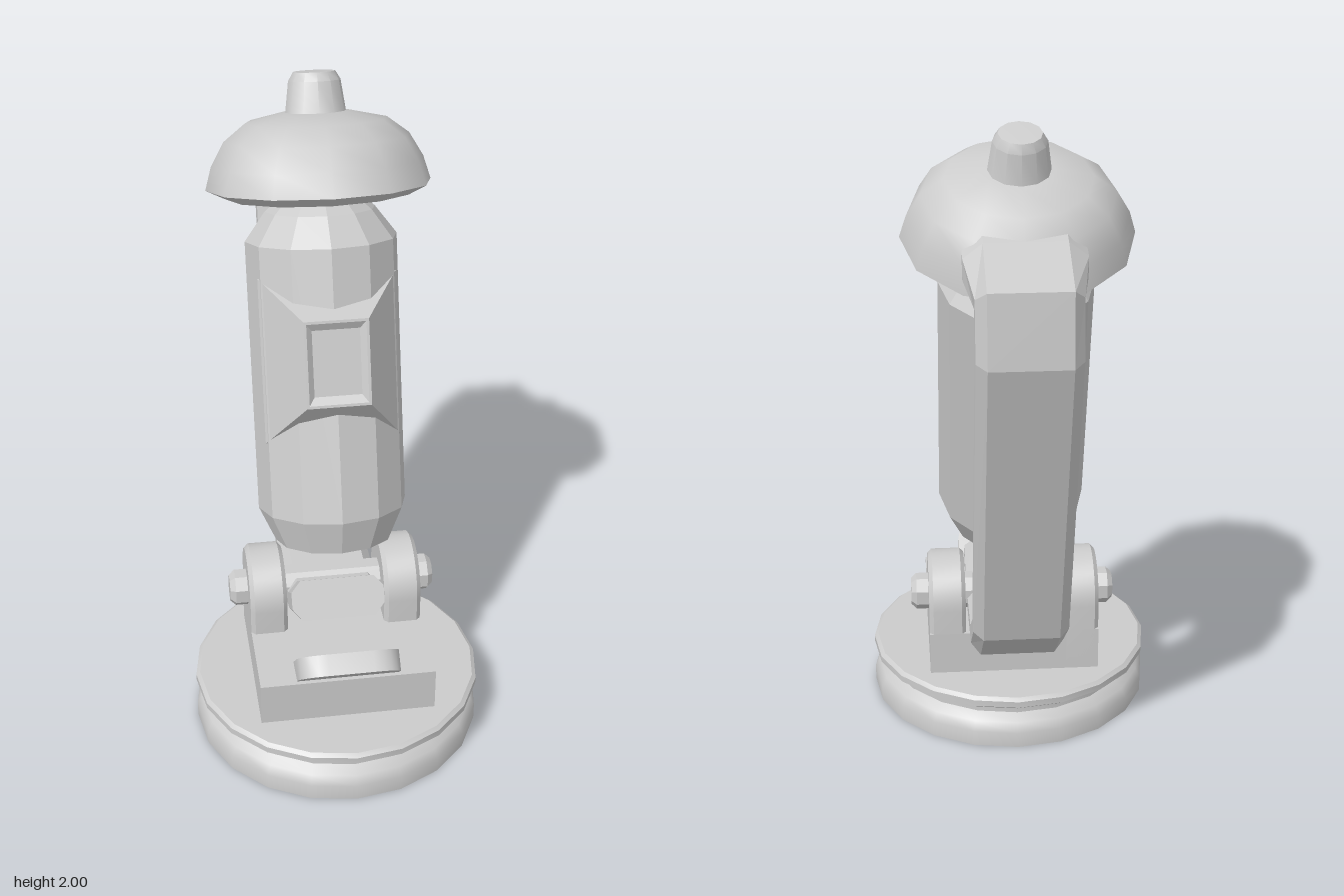
import * as THREE from 'three';
import { toCreasedNormals } from 'three/addons/utils/BufferGeometryUtils.js';

const smooth = new THREE.MeshStandardMaterial({ color: 0xcccccc });
const flat = new THREE.MeshStandardMaterial({ color: 0xcccccc, flatShading: true });

function add(parent, name, geometry, material = flat) {
  const mesh = new THREE.Mesh(geometry, material);
  mesh.name = name;
  parent.add(mesh);
  return mesh;
}

// Turned part from [radius, height] pairs, bottom to top
function lathe(profile, sides, start = 0) {
  return new THREE.LatheGeometry(profile.map(p => new THREE.Vector2(...p)), sides, start);
}

// Skin equal-sized rings of points and close both ends
function loft(rings) {
  const n = rings[0].length, index = [];
  for (let r = 0; r < rings.length - 1; r++) {
    for (let i = 0; i < n; i++) {
      const a = r * n + i, b = r * n + (i + 1) % n;
      index.push(a, b, b + n, a, b + n, a + n);
    }
  }
  const last = (rings.length - 1) * n;
  for (let i = 1; i < n - 1; i++) {
    index.push(0, i + 1, i, last, last + i, last + i + 1);
  }
  const geometry = new THREE.BufferGeometry();
  geometry.setAttribute('position', new THREE.Float32BufferAttribute(rings.flat(2), 3));
  geometry.setIndex(index);
  geometry.computeVertexNormals();
  return geometry;
}

// Curved strap: each station is [outer z, outer y, inner z, inner y, inner half width]
function strapGeometry(stations) {
  return loft(stations.map(([oz, oy, iz, iy, w = 0.145]) => {
    const section = [[0.115, 0], [w, 0.3], [w, 0.72], [w - 0.03, 1]];
    const point = (x, f) => [x, oy + (iy - oy) * f, oz + (iz - oz) * f];
    return [
      ...section.map(([x, f]) => point(x, f)),
      ...section.slice().reverse().map(([x, f]) => point(-x, f)),
    ].reverse();
  }));
}

export function createModel() {
  const model = new THREE.Group();
  model.name = 'tiltingLamp';

  // Grooved round base
  const base = add(model, 'base', toCreasedNormals(lathe([
    [0, 0], [0.45, 0], [0.45, 0.05], [0.435, 0.08], [0.405, 0.1], [0.405, 0.115],
    [0.45, 0.145], [0.45, 0.165], [0.438, 0.175], [0, 0.175],
  ], 20), 0.6), smooth);
  base.position.z = 0.215;

  // Hinge block with two arched lugs
  const block = add(model, 'hingeBlock', new THREE.BoxGeometry(0.54, 0.15, 0.535));
  block.position.set(0, 0.24, 0.2125);

  const arch = new THREE.Shape();
  arch.moveTo(-0.042, 0.2);
  arch.lineTo(0.212, 0.2);
  arch.lineTo(0.212, 0.395);
  arch.absarc(0.085, 0.395, 0.127, 0, Math.PI, false);
  arch.closePath();
  for (const side of [-1, 1]) {
    const lug = new THREE.ExtrudeGeometry(arch, {
      depth: 0.09, curveSegments: 8, bevelEnabled: true,
      bevelSize: 0.013, bevelThickness: 0.013, bevelSegments: 1,
    });
    lug.translate(0, 0, -0.045).rotateY(-Math.PI / 2);
    add(model, side > 0 ? 'leftLug' : 'rightLug', toCreasedNormals(lug, 0.6), smooth)
      .position.x = side * 0.212;
  }

  // Octagonal hinge pin
  const pin = add(model, 'hingePin', lathe([
    [0, -0.325], [0.042, -0.325], [0.058, -0.308], [0.058, 0.308], [0.042, 0.325], [0, 0.325],
  ], 8, Math.PI / 8));
  pin.rotation.z = Math.PI / 2;
  pin.position.set(0, 0.4, 0.085);

  // Slanted thumb lever
  const tab = new THREE.Shape();
  tab.moveTo(-0.157, -0.06);
  tab.lineTo(0.157, -0.06);
  tab.lineTo(0.157, 0.08);
  tab.quadraticCurveTo(0.15, 0.152, 0.07, 0.152);
  tab.lineTo(-0.07, 0.152);
  tab.quadraticCurveTo(-0.15, 0.152, -0.157, 0.08);
  tab.closePath();
  const lever = add(model, 'lever', toCreasedNormals(
    new THREE.ExtrudeGeometry(tab, { depth: 0.064, curveSegments: 5, bevelEnabled: false })
      .translate(0, 0, -0.032), 0.6), smooth);
  lever.rotation.x = 0.8;
  lever.position.set(0, 0.315, 0.42);

  // Support arm from the hinge up to the cap
  add(model, 'supportArm', strapGeometry([
    [0.285, 0.4, 0.225, 0.51],
    [0.19, 0.34, 0.14, 0.445],
    [0.08, 0.31, 0.06, 0.43],
    [-0.18, 0.31, -0.13, 0.43],
    [-0.36, 0.465, -0.255, 0.51],
    [-0.66, 1.445, -0.54, 1.475],
    [-0.64, 1.655, -0.525, 1.56],
    [-0.46, 1.735, -0.45, 1.59, 0.17],
    [-0.35, 1.77, -0.39, 1.6, 0.17],
  ]));

  // Tilted lamp head
  const head = new THREE.Group();
  head.name = 'head';
  head.position.set(0, 0.605, 0.16);
  head.rotation.x = THREE.MathUtils.degToRad(-17);
  model.add(head);

  add(head, 'body', lathe([
    [0, 0], [0.12, 0], [0.18, 0.022], [0.228, 0.13],
    [0.228, 0.955], [0.165, 1.04], [0.13, 1.07], [0.13, 1.15],
  ], 12));

  add(head, 'cap', toCreasedNormals(lathe([
    [0, 1.13], [0.2, 1.13], [0.28, 1.085], [0.335, 1.112], [0.315, 1.18],
    [0.275, 1.25], [0.21, 1.3], [0.1, 1.325], [0, 1.33],
  ], 12), 0.65), smooth);

  add(head, 'capKnob', toCreasedNormals(lathe([
    [0.1, 1.3], [0.09, 1.32], [0.077, 1.415], [0.062, 1.44], [0, 1.443],
  ], 12), 0.6), smooth);

  // Raised front panel with a recessed window: [half width, bottom, top, depth]
  add(head, 'windowPanel', loft([
    [0.205, 0.36, 0.86, 0.1],
    [0.095, 0.5, 0.757, 0.267],
    [0.087, 0.508, 0.749, 0.267],
    [0.07, 0.53, 0.727, 0.25],
  ].map(([w, y0, y1, z]) => [[-w, y0, z], [w, y0, z], [w, y1, z], [-w, y1, z]])));

  return model;
}
